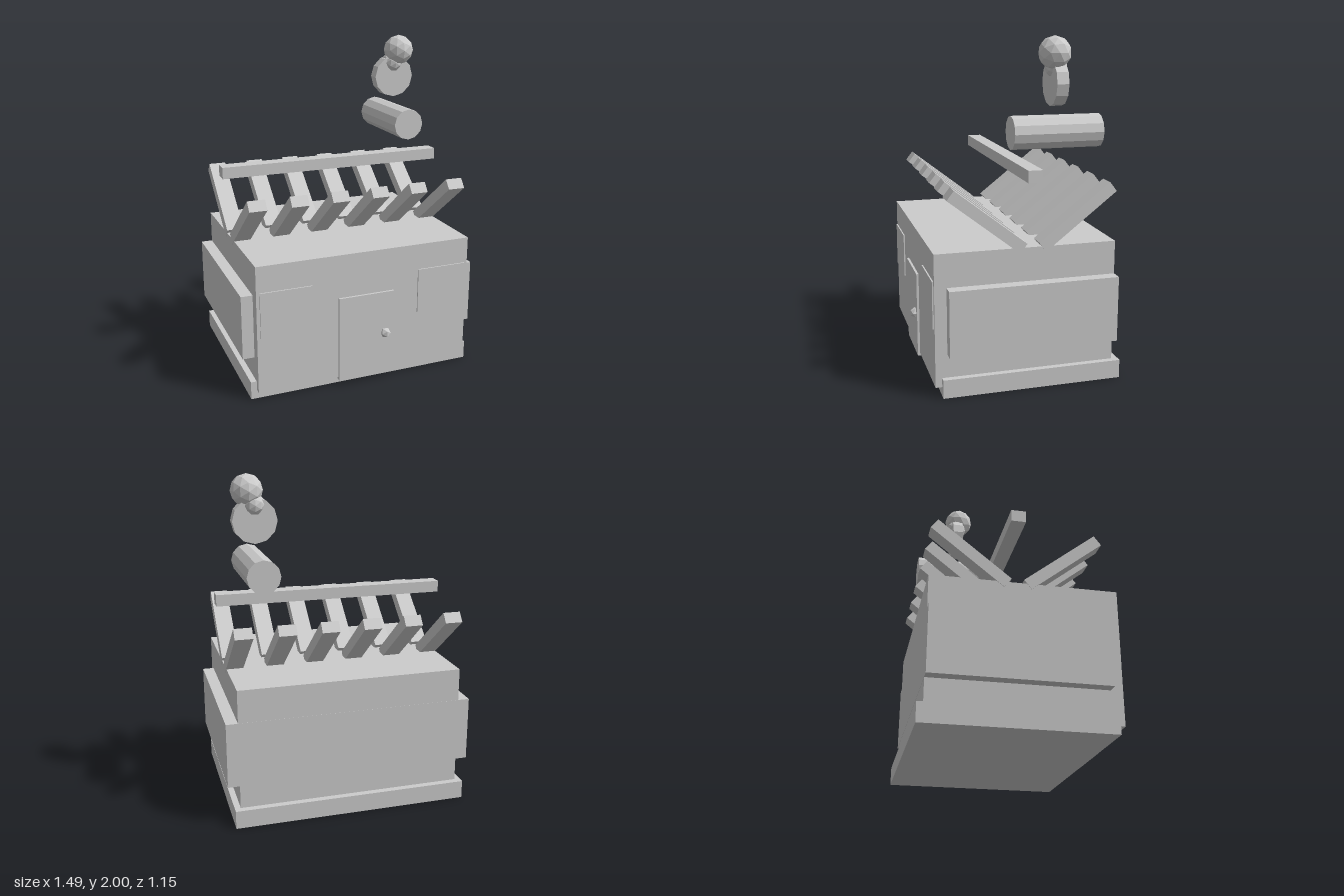
import * as THREE from 'three';

const material = new THREE.MeshStandardMaterial({ color: 0xcccccc, flatShading: true });

export function createModel() {
  const model = new THREE.Group();
  model.name = 'cabin';

  const add = (name, geometry, x, y, z, parent = model) => {
    const mesh = new THREE.Mesh(geometry, material);
    mesh.name = name;
    mesh.position.set(x, y, z);
    parent.add(mesh);
    return mesh;
  };
  // Box given by its limits on each axis
  const block = (name, [x0, x1], [y0, y1], [z0, z1]) =>
    add(name, new THREE.BoxGeometry(x1 - x0, y1 - y0, z1 - z0),
      (x0 + x1) / 2, (y0 + y1) / 2, (z0 + z1) / 2);
  // Twelve-sided cylinder lying along z
  const log = (name, radius, length, x, y, z) =>
    add(name, new THREE.CylinderGeometry(radius, radius, length, 12).rotateX(Math.PI / 2), x, y, z);
  const ball = (name, radius, detail, x, y, z) =>
    add(name, new THREE.IcosahedronGeometry(radius, detail), x, y, z);

  // Foundation, walls and the band that sticks out at both sides
  block('foundation', [-0.71, 0.71], [0, 0.11], [-0.573, 0.492]);
  block('walls', [-0.675, 0.675], [0.055, 0.837], [-0.535, 0.53]);
  block('sideBand', [-0.745, 0.745], [0.25, 0.64], [-0.536, 0.46]);

  // Door, knob and windows
  block('door', [-0.177, 0.177], [0.04, 0.57], [0.5, 0.544]);
  ball('doorKnob', 0.033, 0, 0.122, 0.305, 0.547);
  for (const side of [-1, 1]) {
    block(side > 0 ? 'windowLeft' : 'windowRight',
      [side * 0.497 - 0.158, side * 0.497 + 0.158], [0.397, 0.677], [0.5, 0.538]);
  }

  // Two rows of rafters leaning outwards, forming a V
  const rafters = new THREE.Group();
  rafters.name = 'rafters';
  model.add(rafters);
  const rafterShape = new THREE.BoxGeometry(0.105, 0.068, 0.53);
  const tilt = THREE.MathUtils.degToRad(38);
  for (let i = 0; i < 6; i++) {
    const x = -0.625 + i * 0.25;
    for (const side of [-1, 1]) {
      const rafter = add(side > 0 ? 'frontRafter' : 'backRafter',
        rafterShape, x, 0.995, -0.04 + side * 0.265, rafters);
      rafter.rotation.x = -side * tilt;
    }
  }

  // Ridge beam
  block('ridgeBeam', [-0.71, 0.71], [1.21, 1.28], [-0.083, 0.003]);

  // Chimney drum, its disc and the smoke puffs
  log('chimney', 0.097, 0.53, 0.496, 1.46, -0.22);
  log('chimneyCap', 0.131, 0.07, 0.496, 1.737, -0.22);
  ball('smallSmokePuff', 0.066, 1, 0.496, 1.826, -0.22);
  ball('largeSmokePuff', 0.095, 1, 0.531, 1.905, -0.2);

  return model;
}
